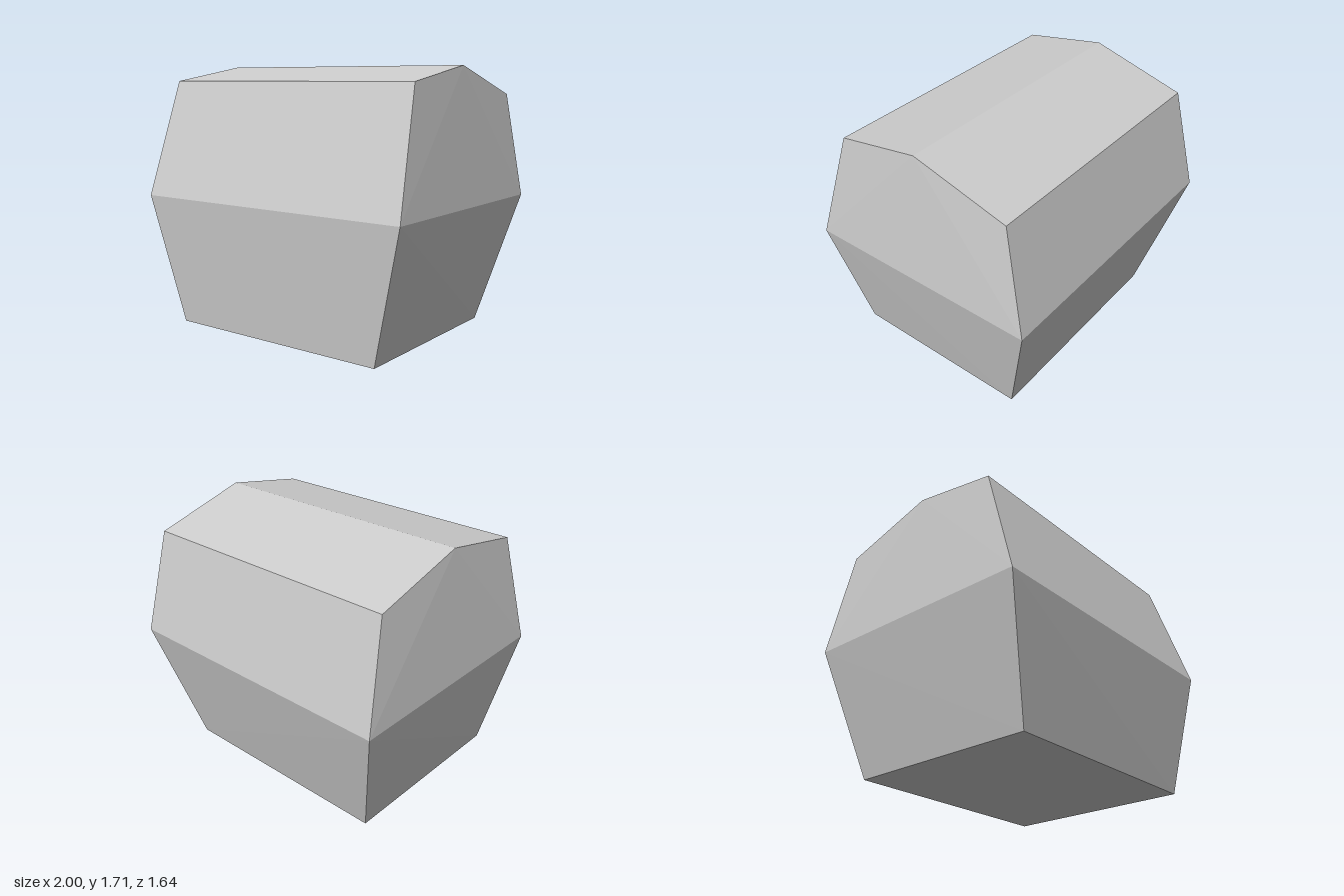
import * as THREE from 'three';
import { ConvexGeometry } from 'three/addons/geometries/ConvexGeometry.js';

export function createModel() {
  const group = new THREE.Group();
  group.name = 'facetedBlock';
  const stone = new THREE.MeshStandardMaterial({ color: 0xcccccc });
  stone.name = 'light grey';

  // Matching corners of the two end faces, from the front foot over the ridge to the back foot:
  // [y, x and z at the -x end, x and z at the +x end]
  const edges = [
    [0.015, -0.74, 0.72, 0.78, 0.67],    // front foot
    [0.865, -0.94, 0.82, 1.0, 0.755],    // front waist
    [1.615, -0.895, 0.585, 0.93, 0.52],  // front shoulder
    [1.71, -0.915, 0.02, 0.91, -0.04],   // ridge
    [1.53, -0.935, -0.61, 0.885, -0.672],// back shoulder
    [0.85, -1.0, -0.76, 0.94, -0.825],   // back waist
    [0.0, -0.78, -0.525, 0.74, -0.58],   // back foot
  ];
  const corners = edges.flatMap(([y, x0, z0, x1, z1]) => [
    new THREE.Vector3(x0, y, z0),
    new THREE.Vector3(x1, y, z1),
  ]);

  // Solid block with sharp flat facets
  const block = new THREE.Mesh(new ConvexGeometry(corners), stone);
  block.name = 'block';
  group.add(block);
  return group;
}
